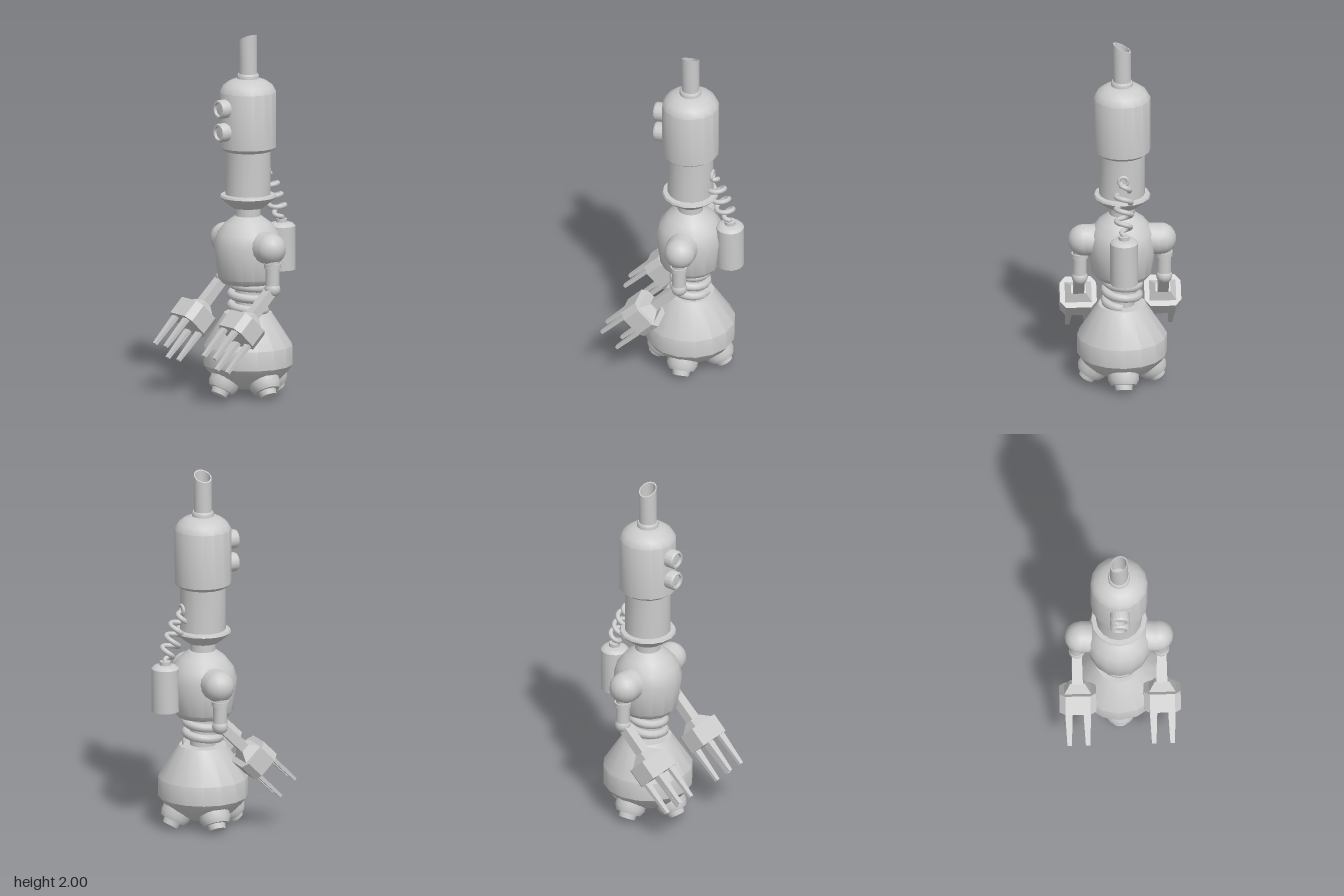
import * as THREE from 'three';
import { toCreasedNormals } from 'three/addons/utils/BufferGeometryUtils.js';

const AXIS_Z = -0.068; // depth of the body's vertical axis
const grey = new THREE.MeshStandardMaterial({ color: 0xcccccc });

function add(parent, name, geo, x = 0, y = 0, z = 0, crease = 0.6) {
  const m = new THREE.Mesh(crease ? toCreasedNormals(geo, crease) : geo, grey);
  m.name = name;
  m.position.set(x, y, z);
  parent.add(m);
  return m;
}

function lathe(pts, seg = 16) {
  return new THREE.LatheGeometry(pts.map(([r, y]) => new THREE.Vector2(r, y)), seg);
}

// Box tapering along +z, from size (w0, h0) at z = 0 to (w1, h1) at z = len
function taper(w0, h0, w1, h1, len) {
  const g = new THREE.BoxGeometry(1, 1, len).translate(0, 0, len / 2);
  const p = g.attributes.position;
  for (let i = 0; i < p.count; i++) {
    const end = p.getZ(i) > len / 2;
    p.setX(i, p.getX(i) * (end ? w1 : w0));
    p.setY(i, p.getY(i) * (end ? h1 : h0));
  }
  return g;
}

// Tube wound about the line a-b, its radius easing in and out at the ends by `ease`
function coil(a, b, radius, turns, tube, ease) {
  const pts = [];
  const n = Math.round(turns * 10);
  const dir = b.clone().sub(a).normalize();
  const u = new THREE.Vector3(1, 0, 0);
  const v = dir.clone().cross(u).normalize();
  for (let i = 0; i <= n; i++) {
    const t = i / n, ang = t * turns * Math.PI * 2;
    const r = ease ? radius * Math.min(1, t / ease, (1 - t) / ease) : radius;
    pts.push(a.clone().lerp(b, t)
      .addScaledVector(u, r * Math.sin(ang)).addScaledVector(v, r * Math.cos(ang)));
  }
  return new THREE.TubeGeometry(new THREE.CatmullRomCurve3(pts), n * 2, tube, 8);
}

function buildBase(body) {
  add(body, 'base', lathe([[0, 0.03], [0.1, 0.05], [0.17, 0.09], [0.22, 0.14], [0.245, 0.175],
    [0.245, 0.28], [0.13, 0.46], [0, 0.46]]));
  // Four tilted wheel pods beneath the base
  for (let i = 0; i < 4; i++) {
    const a = i * Math.PI / 2;
    const pod = add(body, 'wheelPod', lathe([[0.085, -0.08], [0.085, -0.03], [0.07, 0],
      [0.05, 0], [0.045, 0.03], [0, 0.03]]), 0.18 * Math.sin(a), 0.05, 0.18 * Math.cos(a));
    pod.quaternion.setFromUnitVectors(new THREE.Vector3(0, 1, 0),
      new THREE.Vector3(0.5 * Math.sin(a), -0.866, 0.5 * Math.cos(a)));
  }
}

function buildTorso(body) {
  add(body, 'waistCore', new THREE.CylinderGeometry(0.07, 0.07, 0.2, 16), 0, 0.55, 0);
  add(body, 'waistSpring', coil(new THREE.Vector3(0, 0.465, 0), new THREE.Vector3(0, 0.635, 0),
    0.092, 2.75, 0.024, 0), 0, 0, 0, 0);
  add(body, 'torso', lathe([[0, 0.625], [0.14, 0.625], [0.165, 0.655], [0.188, 0.83],
    [0.168, 0.9], [0.125, 0.955], [0.072, 0.995], [0, 0.995]]));
  add(body, 'neck', new THREE.CylinderGeometry(0.07, 0.07, 0.08, 16), 0, 1.02, 0);
}

function buildHead(body) {
  add(body, 'headFlange', lathe([[0, 1.04], [0.085, 1.04], [0.13, 1.075], [0.155, 1.1],
    [0.15, 1.112], [0.12, 1.115]]));
  add(body, 'lowerHead', new THREE.CylinderGeometry(0.125, 0.125, 0.26, 16), 0, 1.235, 0);
  add(body, 'upperHead', lathe([[0, 1.355], [0.13, 1.355], [0.155, 1.375], [0.155, 1.68],
    [0.135, 1.715], [0.1, 1.74], [0.055, 1.755], [0, 1.755]]));
  add(body, 'pipeCollar', lathe([[0.06, 1.74], [0.06, 1.77], [0.054, 1.78], [0.045, 1.78]]));

  // Hollow pipe, its mouth cut at a slant
  const pipe = lathe([[0.049, 1.76], [0.049, 1.975], [0.042, 1.975], [0.042, 1.8], [0, 1.8]]);
  const p = pipe.attributes.position;
  for (let i = 0; i < p.count; i++) {
    if (p.getY(i) > 1.9) p.setY(i, p.getY(i) + 0.51 * p.getX(i));
  }
  add(body, 'pipe', pipe);

  // Two eyes, one above the other, with recessed lenses
  for (const y of [1.47, 1.6]) {
    const eye = lathe([[0.052, 0.1], [0.052, 0.19], [0.046, 0.2], [0.037, 0.2], [0.035, 0.185],
      [0, 0.188]]);
    add(body, 'eye', eye.rotateX(Math.PI / 2), 0, y, 0);
  }
}

function buildBackpack(body) {
  add(body, 'tank', lathe([[0, 0.675], [0.076, 0.675], [0.076, 0.915], [0.06, 0.93],
    [0.03, 0.935], [0.03, 0.955], [0, 0.957]]), 0, 0, -0.224);
  add(body, 'cable', coil(new THREE.Vector3(0, 0.95, -0.224), new THREE.Vector3(0, 1.235, -0.115),
    0.042, 4.5, 0.014, 0.2), 0, 0, 0, 0);
  add(body, 'cableSocket', new THREE.TorusGeometry(0.025, 0.01, 8, 14), 0, 1.235, -0.125, 0);
}

// Arm for one side; local x = 0 is the arm's own centre line
function buildArm(body, side) {
  const arm = new THREE.Group();
  arm.name = side > 0 ? 'leftArm' : 'rightArm';
  arm.position.x = side * 0.23;
  body.add(arm);

  const s = -side * 0.02;
  add(arm, 'shoulder', new THREE.SphereGeometry(0.086, 16, 12), s, 0.84, 0, 0);
  add(arm, 'shoulderJoint', new THREE.CylinderGeometry(0.086, 0.086, 0.07, 16)
    .rotateZ(Math.PI / 2), s - side * 0.035, 0.84, 0);
  add(arm, 'upperArm', new THREE.CylinderGeometry(0.038, 0.038, 0.17, 16), 0, 0.71, 0);
  add(arm, 'armCuff', new THREE.CylinderGeometry(0.046, 0.046, 0.025, 16), 0, 0.75, 0);
  add(arm, 'elbow', new THREE.SphereGeometry(0.044, 16, 12), 0, 0.62, 0, 0);

  // Forearm and hand share one frame: +z runs toward the fingertips
  const hand = new THREE.Group();
  hand.name = 'hand';
  hand.position.set(0, 0.42, 0.203);
  hand.rotation.x = Math.PI / 4;
  arm.add(hand);
  add(hand, 'forearm', taper(0.055, 0.05, 0.06, 0.055, 0.22), 0, 0, -0.28);
  add(hand, 'wrist', taper(0.08, 0.05, 0.145, 0.12, 0.045), 0, 0, -0.1);

  // Palm block with cut corners
  const palm = new THREE.Shape([[0.1, -0.055], [0.1, 0.055], [0.068, 0.092], [-0.068, 0.092],
    [-0.1, 0.055], [-0.1, -0.055], [-0.068, -0.092], [0.068, -0.092]]
    .map(([x, y]) => new THREE.Vector2(x, y)));
  add(hand, 'palm', new THREE.ExtrudeGeometry(palm, { depth: 0.11, bevelEnabled: false }),
    0, 0, -0.055);

  for (const x of [-1, 1]) {
    for (const y of [-1, 1]) {
      add(hand, 'finger', taper(0.042, 0.022, 0.024, 0.018, 0.2), x * 0.05, y * 0.06, 0.05);
    }
  }
}

export function createModel() {
  const model = new THREE.Group();
  model.name = 'robot';
  const body = new THREE.Group();
  body.name = 'body';
  body.position.z = AXIS_Z;
  model.add(body);
  buildBase(body);
  buildTorso(body);
  buildHead(body);
  buildBackpack(body);
  for (const side of [-1, 1]) buildArm(body, side);
  return model;
}
